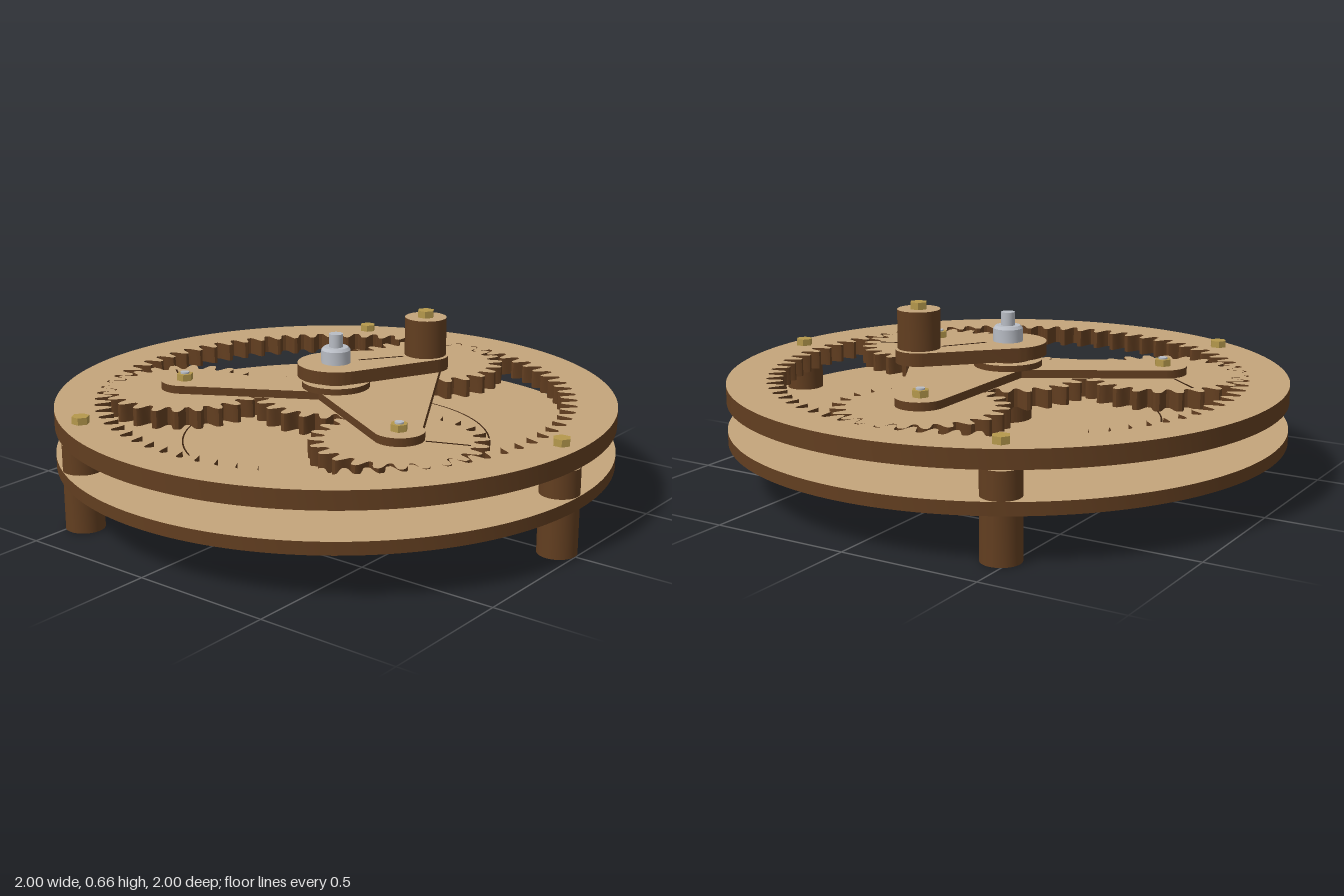
import * as THREE from 'three';
import { toCreasedNormals } from 'three/addons/utils/BufferGeometryUtils.js';

const mat = (name, color) => {
  const m = new THREE.MeshStandardMaterial({ color });
  m.name = name;
  return m;
};

export function createModel() {
  const model = new THREE.Group();
  model.name = 'planetaryGearTable';
  const wood = mat('plywood face', 0xc4a57b);
  const edge = mat('burnt edge', 0x623e20);
  const brass = mat('brass', 0xb5984c);
  const steel = mat('steel', 0xb8bcc4);
  const mark = mat('engraved line', 0x3a2210);

  // Cut sheet: tan faces and dark brown edges, lying flat from y0 to y1
  const sheet = (name, shape, y0, y1, parent = model, curveSegments = 48) => {
    let g = new THREE.ExtrudeGeometry(shape, { depth: y1 - y0, bevelEnabled: false, curveSegments });
    g.rotateX(-Math.PI / 2);
    g = toCreasedNormals(g, 0.5);
    const mesh = new THREE.Mesh(g, [wood, edge]);
    mesh.name = name;
    mesh.position.y = y0;
    parent.add(mesh);
    return mesh;
  };
  const disc = (r, hole = 0) => {
    const s = new THREE.Shape().absarc(0, 0, r, 0, Math.PI * 2);
    if (hole) s.holes.push(new THREE.Path().absarc(0, 0, hole, 0, Math.PI * 2, true));
    return s;
  };
  const rod = (name, r, y0, y1, material, parent, sides = 24) => {
    const g = new THREE.CylinderGeometry(r, r, y1 - y0, sides);
    const mesh = new THREE.Mesh(g, material);
    mesh.name = name;
    mesh.position.y = (y0 + y1) / 2;
    parent.add(mesh);
    return mesh;
  };
  const hex = (name, r, y0, y1, parent) => {
    const m = rod(name, r, y0, y1, brass, parent, 6);
    m.geometry = m.geometry.toNonIndexed();
    m.geometry.computeVertexNormals();
    return m;
  };
  const spot = (name, x, z) => {
    const g = new THREE.Group();
    g.name = name;
    g.position.set(x, 0, z);
    model.add(g);
    return g;
  };
  // Radial engraved line
  const line = (name, r0, r1, y, angle, parent) => {
    const pivot = new THREE.Group();
    pivot.rotation.y = angle;
    const m = new THREE.Mesh(new THREE.BoxGeometry(r1 - r0, 0.003, 0.006), mark);
    m.name = name;
    m.position.set((r0 + r1) / 2, y, 0);
    pivot.add(m);
    parent.add(pivot);
  };

  // Toothed outline with rounded flanks
  const toothPoints = (teeth, pitch, inner, outer, phase) => {
    const pts = [], n = teeth * 12;
    for (let i = 0; i < n; i++) {
      const a = (i / n) * Math.PI * 2;
      const c = THREE.MathUtils.clamp(1.45 * Math.cos(teeth * a + phase), -1, 1);
      const r = pitch + c * (c > 0 ? outer : inner);
      pts.push(new THREE.Vector2(r * Math.cos(a), r * Math.sin(a)));
    }
    return pts;
  };

  // Base plate, its pivot circle and the lower collar
  sheet('basePlate', disc(1), 0.165, 0.21, model, 96);
  const circle = new THREE.Mesh(new THREE.RingGeometry(0.551, 0.557, 128), mark);
  circle.name = 'pivotCircle';
  circle.rotation.x = -Math.PI / 2;
  circle.position.y = 0.212;
  model.add(circle);
  sheet('lowerCollar', disc(0.13), 0.12, 0.165);
  sheet('centreSpacer', disc(0.085), 0.21, 0.31);

  // Ring gear
  const ring = disc(1);
  ring.holes.push(new THREE.Path(toothPoints(72, 0.832, 0.03, 0.028, Math.PI).reverse()));
  sheet('ringGear', ring, 0.31, 0.375, model, 96);

  // Hollow legs, upper spacers and their bolts
  for (let i = 0; i < 3; i++) {
    const a = Math.PI / 2 + (i * Math.PI * 2) / 3;
    const leg = spot('leg', 0.93 * Math.cos(a), 0.93 * Math.sin(a));
    sheet('legTube', disc(0.068, 0.045), 0, 0.165, leg, 24);
    sheet('legSpacer', disc(0.068), 0.21, 0.305, leg, 24);
    rod('legBoltShaft', 0.018, 0.1, 0.38, steel, leg, 16);
    hex('legBoltHead', 0.031, 0.375, 0.4, leg);
  }

  // Sun gear and planet gears with their axles
  sheet('sunGear', new THREE.Shape(toothPoints(24, 0.277, 0.03, 0.022, 0)), 0.31, 0.375);
  const lineAngles = [Math.PI, 0.9, -1.2];
  for (let i = 0; i < 3; i++) {
    const a = (i * Math.PI * 2) / 3;
    const planet = spot('planet', 0.555 * Math.cos(a), -0.555 * Math.sin(a));
    sheet('planetGear', new THREE.Shape(toothPoints(24, 0.277, 0.03, 0.022, Math.PI)), 0.31, 0.375, planet);
    line('planetLine', 0.09, 0.24, 0.375, lineAngles[i], planet);
    rod('axle', 0.016, 0.302, 0.435, steel, planet, 16);
    hex('axleNut', 0.03, 0.405, 0.429, planet);
  }

  // Three-armed carrier
  const carrier = new THREE.Shape();
  const w = 0.086;
  for (let i = 0; i < 3; i++) {
    const a = (i * Math.PI * 2) / 3;
    const corner = w / Math.sin(Math.PI / 3), b = a - Math.PI / 3;
    const x = corner * Math.cos(b), y = corner * Math.sin(b);
    if (i) carrier.lineTo(x, y);
    else carrier.moveTo(x, y);
    carrier.absarc(0.555 * Math.cos(a), 0.555 * Math.sin(a), w, a - Math.PI / 2, a + Math.PI / 2);
  }
  carrier.closePath();
  sheet('carrier', carrier, 0.376, 0.405, model, 24);
  sheet('carrierHub', disc(0.122), 0.405, 0.427);
  sheet('crankSpacer', disc(0.08), 0.427, 0.446);

  // Crank: a tapered arm between two round ends
  const crankGroup = spot('crank', 0, 0);
  const reach = 0.34, R = 0.138, r = 0.082;
  const t = Math.acos((R - r) / reach);
  const crank = new THREE.Shape();
  crank.absarc(0, 0, R, t, Math.PI * 2 - t);
  crank.absarc(reach, 0, r, -t, t);
  crank.closePath();
  sheet('crankArm', crank, 0.446, 0.493, crankGroup, 32);
  line('crankLine', 0.085, 0.255, 0.493, 0, crankGroup);
  crankGroup.rotation.y = -0.608;

  // Handle
  const handle = spot('handle', 0.278, 0.194);
  sheet('handleGrip', disc(0.075), 0.497, 0.635, handle, 32);
  hex('handleBolt', 0.031, 0.635, 0.66, handle);

  // Main shaft and flanged nut
  rod('mainShaft', 0.025, 0.06, 0.598, steel, model);
  const profile = [[0, 0.493], [0.053, 0.493], [0.053, 0.54], [0.044, 0.55], [0, 0.55]]
    .map(([x, y]) => new THREE.Vector2(x, y));
  const nut = new THREE.Mesh(toCreasedNormals(new THREE.LatheGeometry(profile, 24), 0.5), steel);
  nut.name = 'shaftNut';
  model.add(nut);

  return model;
}
